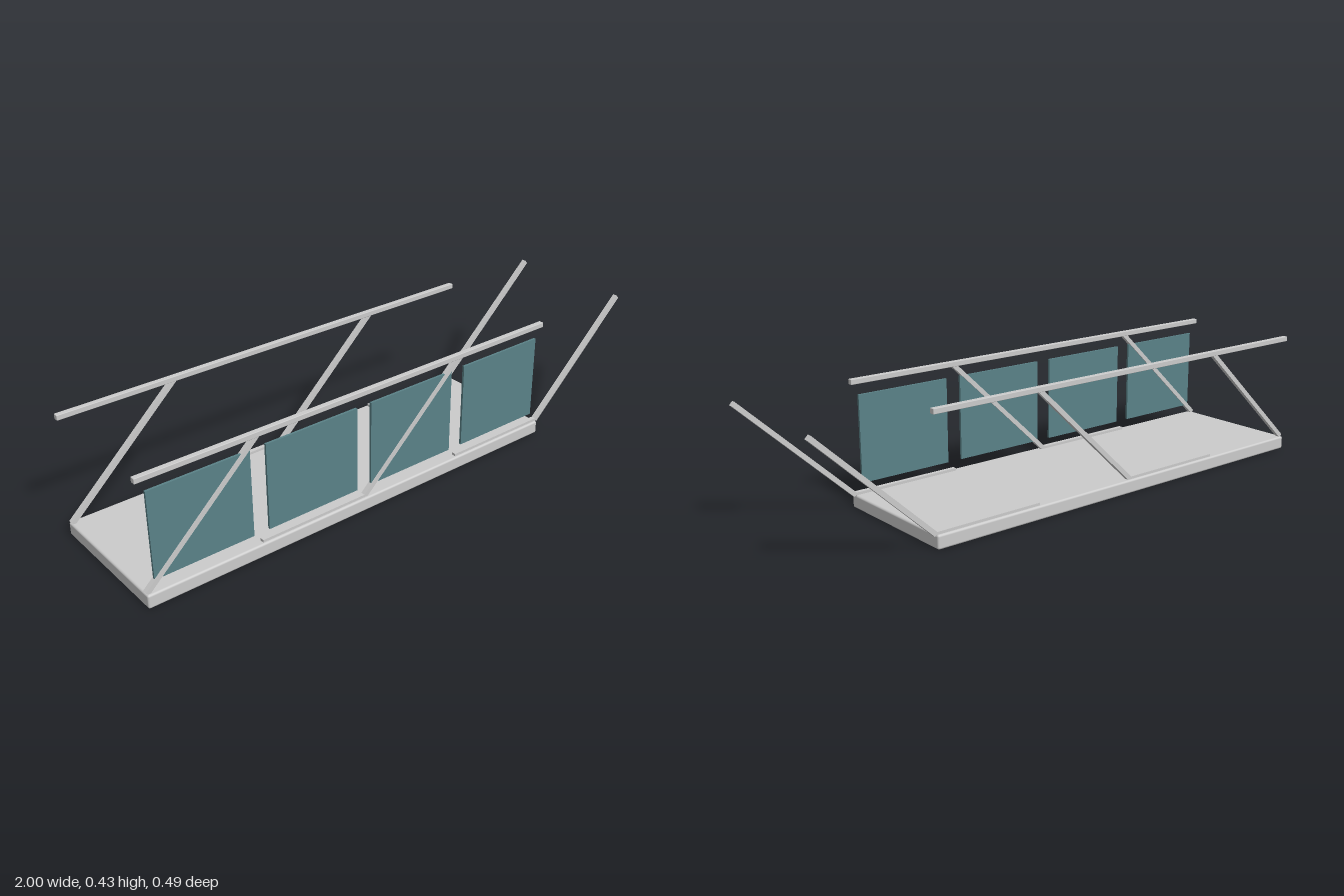
import * as THREE from 'three';
import { RoundedBoxGeometry } from 'three/addons/geometries/RoundedBoxGeometry.js';

export function createModel() {
  const model = new THREE.Group();
  model.name = 'trussWalkway';
  const grey = new THREE.MeshStandardMaterial({ color: 0xcccccc });
  const teal = new THREE.MeshStandardMaterial({ color: 0x5a8288 });

  const left = -0.996, bay = 0.398, bays = 4;
  const sideZ = 0.227, bottomY = 0.048, topY = 0.424, bar = 0.016;
  const deckLength = 1.596, deckX = -1 + deckLength / 2;

  const add = (parent, name, geometry, material, x, y, z) => {
    const mesh = new THREE.Mesh(geometry, material);
    mesh.name = name;
    mesh.position.set(x, y, z);
    parent.add(mesh);
    return mesh;
  };

  // Deck slab with softened edges
  add(model, 'deck', new RoundedBoxGeometry(deckLength, 0.047, 0.486, 2, 0.007), grey, deckX, 0.0235, 0);

  // Square bar between two points in a side plane
  const strut = (parent, name, x0, y0, x1, y1, z) => {
    const length = Math.hypot(x1 - x0, y1 - y0);
    const mesh = add(parent, name, new THREE.BoxGeometry(length, bar, bar), grey, (x0 + x1) / 2, (y0 + y1) / 2, z);
    mesh.rotation.z = Math.atan2(y1 - y0, x1 - x0);
  };

  // Both side trusses: top rail, alternating diagonals and bottom bars
  for (const s of [1, -1]) {
    const side = new THREE.Group();
    side.name = s > 0 ? 'frontTruss' : 'backTruss';
    const z = s * sideZ;
    add(side, 'topRail', new RoundedBoxGeometry(deckLength, 0.018, 0.018, 1, 0.002), grey, deckX, topY, z);
    for (let i = 0; i <= bays; i++) {
      const x = left + i * bay;
      if (i % 2 === 0) strut(side, 'diagonal', x, bottomY, x + bay, topY - 0.002, z);
      else strut(side, 'bottomBar', x, bottomY, x + bay, bottomY, z);
    }
    model.add(side);
  }

  // Infill panels along the front side only
  for (let i = 0; i < bays; i++) {
    add(model, 'panel', new THREE.BoxGeometry(0.342, 0.296, 0.008), teal, left + (i + 0.5) * bay, 0.23, sideZ);
  }
  return model;
}
